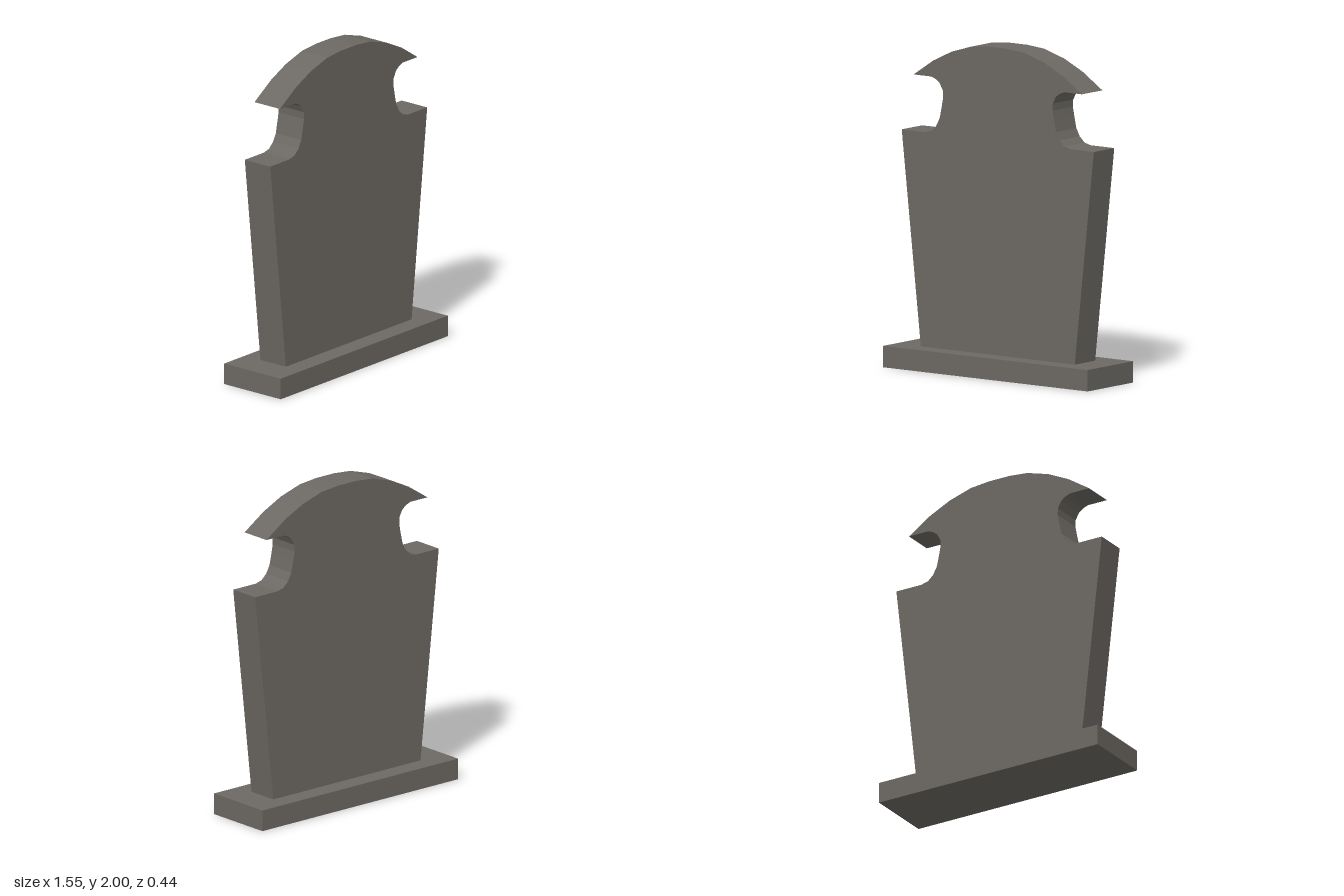
import * as THREE from 'three';

export function createModel() {
  const group = new THREE.Group();
  const stone = new THREE.MeshStandardMaterial({ color: 0x6c6863 });
  stone.name = 'stone';

  // Plinth
  const plinth = new THREE.Mesh(new THREE.BoxGeometry(1.554, 0.13, 0.444), stone);
  plinth.name = 'plinth';
  plinth.position.y = 0.065;
  group.add(plinth);

  // Half outline of the slab, from the foot up to the crown
  const half = [
    [0.585, 0.13], [0.73, 1.435], // tapered side
    [0.553, 1.435], [0.505, 1.447], [0.468, 1.481], [0.442, 1.529], [0.426, 1.603], // notch
    [0.416, 1.656], [0.418, 1.7], [0.44, 1.741], [0.468, 1.763], [0.505, 1.777],
    [0.64, 1.777], [0.49, 1.876], [0.35, 1.943], [0.2, 1.988], [0.07, 2], // crown
  ];
  const mirrored = half.map(([x, y]) => [-x, y]).reverse();
  const shape = new THREE.Shape([...half, ...mirrored].map(([x, y]) => new THREE.Vector2(x, y)));

  // Headstone slab
  const slabGeometry = new THREE.ExtrudeGeometry(shape, { depth: 0.2, bevelEnabled: false });
  slabGeometry.translate(0, 0, -0.1);
  const slab = new THREE.Mesh(slabGeometry, stone);
  slab.name = 'headstoneSlab';
  group.add(slab);

  return group;
}
